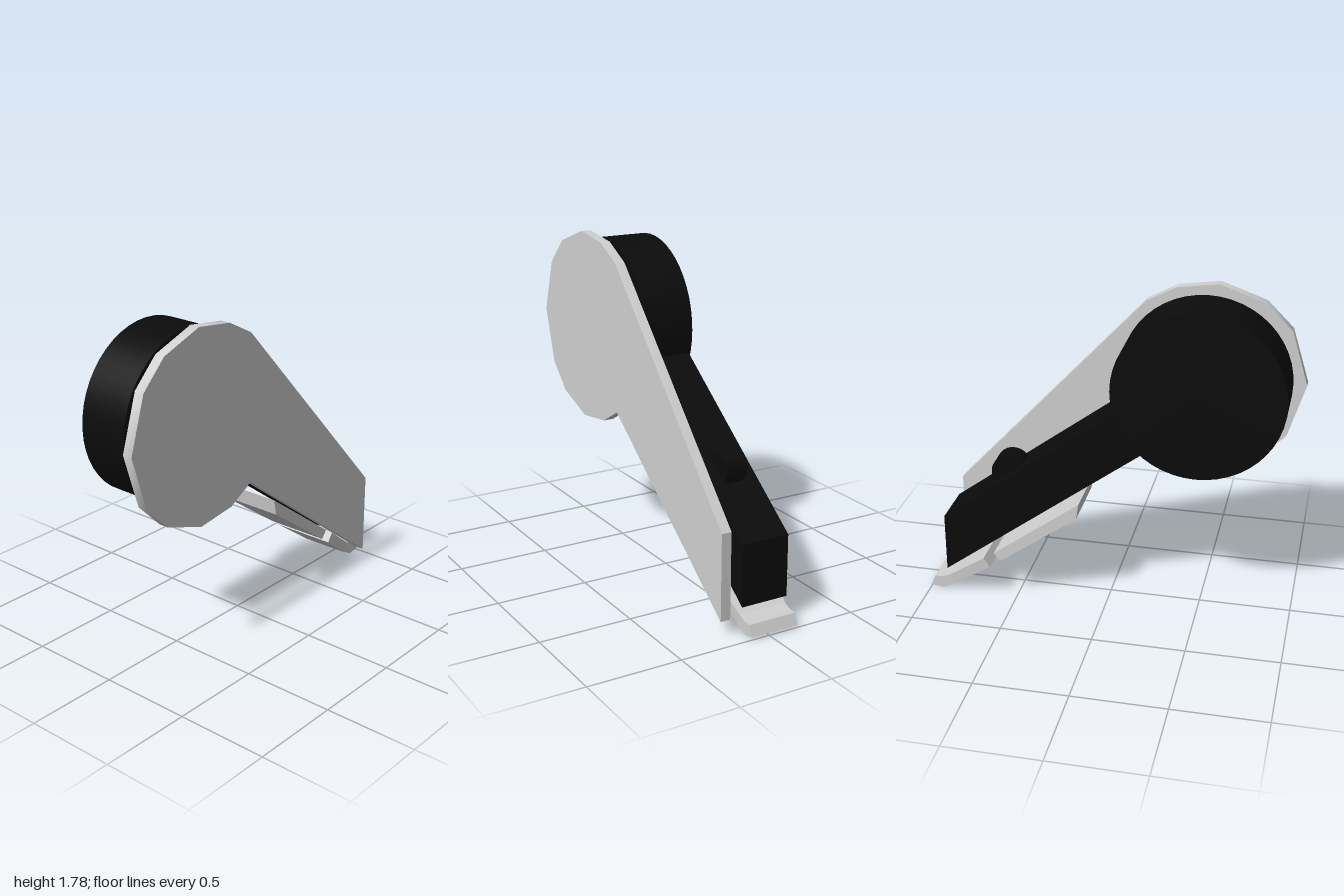
import * as THREE from 'three';
import { toCreasedNormals } from 'three/addons/utils/BufferGeometryUtils.js';

const grey = new THREE.MeshStandardMaterial({ color: 0xd0d0d0 });
grey.name = 'light grey';
const black = new THREE.MeshStandardMaterial({ color: 0x0b0b0b });
black.name = 'black';

// Extrudes a side profile of [z, y] points across x, from xMin to xMax
function slab(profile, xMin, xMax) {
  const shape = new THREE.Shape(profile.map(([z, y]) => new THREE.Vector2(z, y)));
  const geometry = new THREE.ExtrudeGeometry(shape, { depth: xMax - xMin, bevelEnabled: false });
  return geometry.rotateY(-Math.PI / 2).translate(xMax, 0, 0);
}

// Cylinder lying along x
function drum(radius, xMin, xMax, y, z) {
  return new THREE.CylinderGeometry(radius, radius, xMax - xMin, 48)
    .rotateZ(Math.PI / 2).translate((xMin + xMax) / 2, y, z);
}

export function createModel() {
  const model = new THREE.Group();
  const add = (name, geometry, material) => {
    const mesh = new THREE.Mesh(geometry, material);
    mesh.name = name;
    model.add(mesh);
  };

  // Flat side plate with a rounded head
  const plate = slab([
    [1, 1.27], [0.91, 1.56], [0.77, 1.7], [0.53, 1.785], [0.31, 1.755], [0.15, 1.67],
    [-0.895, 0.54], [-0.895, 0.08], [0.15, 0.865],
    [0.3, 0.78], [0.53, 0.75], [0.77, 0.835], [0.91, 0.975],
  ], 0.16, 0.215);
  add('sidePlate', toCreasedNormals(plate, 0.7), grey);

  // Round head, slanted arm and the small roller set into the arm
  add('headDrum', drum(0.452, -0.18, 0.1, 1.293, 0.48), black);
  add('arm', slab([[0.4, 1.43], [-0.9, 0.46], [-0.9, 0.13], [0.4, 1.1]], -0.17, 0.095), black);
  add('roller', drum(0.095, -0.095, 0.025, 0.73, -0.545), black);

  // Long pad under the arm
  add('pad', slab([[-0.13, 0.645], [-0.61, 0.29], [-0.575, 0.245], [-0.145, 0.555]], -0.22, 0.15), grey);

  // Toe pad, narrowing towards the back
  const centre = -0.035;
  const toe = slab([[-0.67, 0.25], [-0.89, 0.088], [-0.86, 0.035], [-0.635, 0.2]], centre - 0.185, centre + 0.185);
  const p = toe.attributes.position;
  for (let i = 0; i < p.count; i++) {
    if (p.getZ(i) < -0.8) p.setX(i, centre + Math.sign(p.getX(i) - centre) * 0.135);
  }
  toe.computeVertexNormals();
  add('toePad', toe, grey);

  // Turned-up end of the toe
  add('toeTip', slab([
    [-0.89, 0.088], [-0.93, 0.072], [-0.975, 0.07], [-1, 0.012], [-0.93, 0], [-0.86, 0.035],
  ], centre - 0.135, centre + 0.135), grey);

  return model;
}
